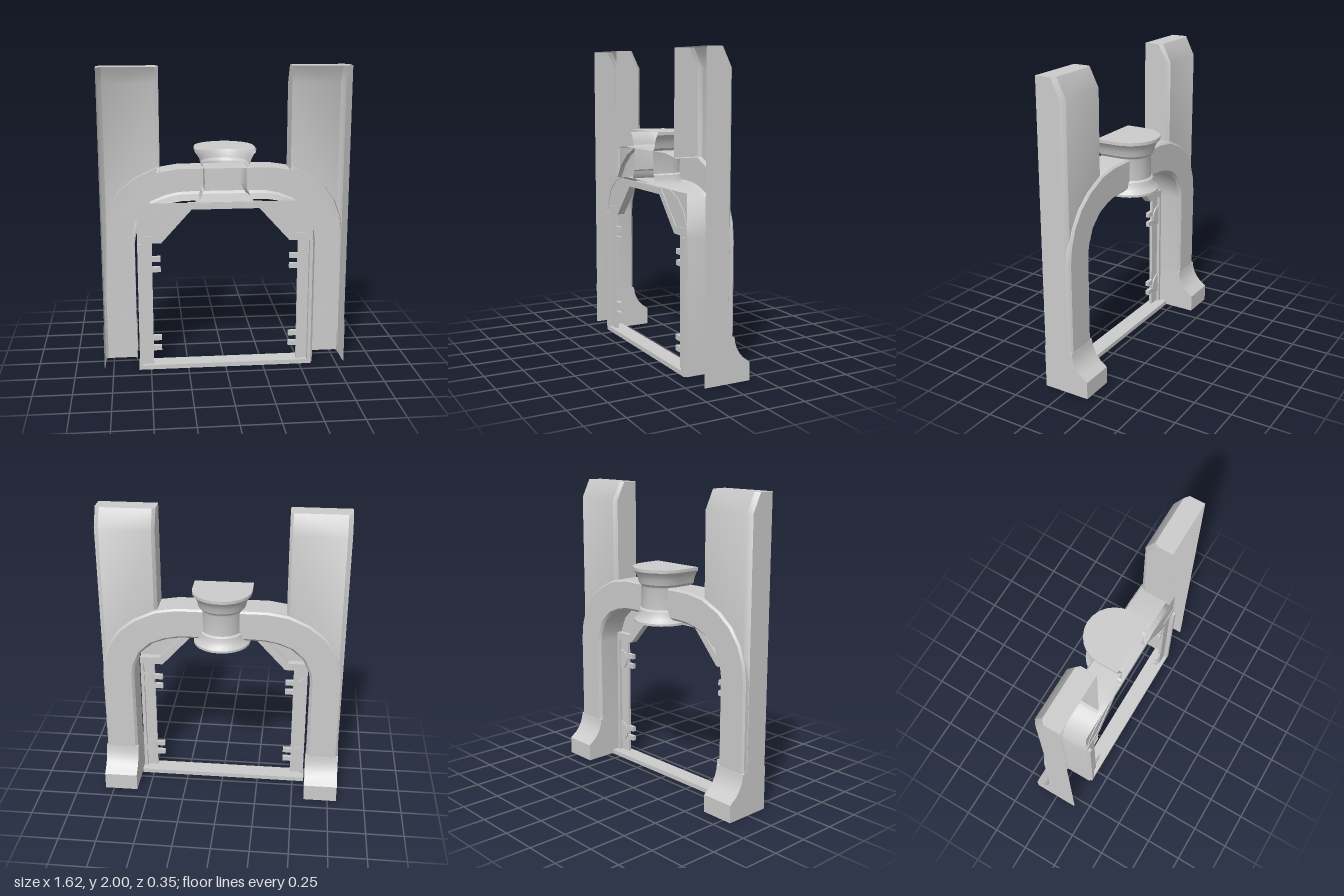
import * as THREE from 'three';
import { toCreasedNormals } from 'three/addons/utils/BufferGeometryUtils.js';

const FRONT = 0.15; // z of the open edge of the shell
const material = new THREE.MeshStandardMaterial({ color: 0xcccccc, side: THREE.DoubleSide });

function addMesh(parent, name, geometry) {
  const mesh = new THREE.Mesh(geometry, material);
  mesh.name = name;
  parent.add(mesh);
  return mesh;
}

// Skin a list of equally long cross-sections, each a list of [x, y, z]
function skin(rows) {
  const n = rows[0].length;
  const index = [];
  for (let i = 0; i < rows.length - 1; i++) {
    for (let j = 0; j < n - 1; j++) {
      const a = i * n + j, b = a + n;
      index.push(a, b, a + 1, a + 1, b, b + 1);
    }
  }
  const geometry = new THREE.BufferGeometry();
  geometry.setAttribute('position', new THREE.Float32BufferAttribute(rows.flat(2), 3));
  geometry.setIndex(index);
  return toCreasedNormals(geometry, 0.5);
}

function box(parent, name, x0, x1, y0, y1, z0, z1) {
  const mesh = addMesh(parent, name, new THREE.BoxGeometry(Math.abs(x1 - x0), y1 - y0, z1 - z0));
  mesh.position.set((x0 + x1) / 2, (y0 + y1) / 2, (z0 + z1) / 2);
}

const polygon = (points) => new THREE.Shape(points.map(([x, y]) => new THREE.Vector2(x, y)));
const mirrored = (half) => [...half, ...half.map(([x, y]) => [-x, y]).reverse()];

// Hollow tower: bevelled section, sloping top, foot of the skin cut along the arch
function pillar(parent, s) {
  const section = [[0.42, FRONT], [0.42, -0.012], [0.44, -0.035], [0.775, -0.035], [0.805, -0.012], [0.805, FRONT]];
  const bottom = [1.335, 1.335, 1.33, 0.87, 0, 0];
  const slope = (z) => (z === FRONT ? z : z + 0.06);
  const top = section.map(([x, z]) => [s * x, 2, slope(z)]);
  addMesh(parent, 'pillarShell', skin([
    section.map(([x, z], i) => [s * x, bottom[i], z]),
    section.map(([x, z]) => [s * x, 1.88, z]),
    top,
  ]));
  addMesh(parent, 'pillarTop', skin([top.slice(0, 3), top.slice(3).reverse()]));
}

// Flared foot, open at the front and below
function foot(parent, s) {
  const profile = [[-0.035, 0.29], [-0.053, 0.285], [-0.058, 0.25], [-0.07, 0.215], [-0.09, 0.18],
    [-0.115, 0.152], [-0.145, 0.13], [-0.163, 0.115], [-0.163, 0]];
  addMesh(parent, 'foot', skin(profile.map(([z, y]) => [
    [s * 0.585, y, FRONT], [s * 0.585, y, z], [s * 0.81, y, z], [s * 0.81, y, FRONT],
  ])));
}

// Arch ring with bevelled edges and a deep soffit
function arch(parent) {
  const outer = mirrored([[0.803, 0], [0.803, 0.87], [0.79, 0.98], [0.75, 1.09], [0.68, 1.19], [0.58, 1.27], [0.44, 1.335], [0.3, 1.357]]);
  const inner = mirrored([[0.59, 0], [0.59, 0.87], [0.58, 0.93], [0.535, 1.03], [0.455, 1.1], [0.36, 1.135], [0.28, 1.148], [0.2, 1.15]]);
  const section = [[0, 0], [0, -0.04], [0.06, -0.052], [0.92, -0.052], [1, -0.035], [1, FRONT]];
  addMesh(parent, 'arch', skin(outer.map(([ox, oy], i) => section.map(([t, z]) => [
    ox + (inner[i][0] - ox) * t, oy + (inner[i][1] - oy) * t, z,
  ]))));
  // Roof of the arch between the pillars
  const crown = outer.filter(([x]) => Math.abs(x) < 0.5);
  addMesh(parent, 'archTop', skin(crown.map(([x, y]) => [[x, y, -0.04], [x, y, FRONT]])));
}

// Spool-shaped keystone: half-round at the back, straight walls towards the front
function keystone(parent) {
  const profile = [[0.195, 1.48], [0.195, 1.46], [0.178, 1.44], [0.163, 1.41], [0.155, 1.375], [0.14, 1.36],
    [0.137, 1.35], [0.137, 1.21], [0.15, 1.2], [0.155, 1.175], [0.168, 1.15], [0.188, 1.13], [0.188, 1.115]];
  const centre = 0.015, steps = 12;
  const ring = ([r, y]) => {
    const points = [[r, y, FRONT]];
    for (let i = 0; i <= steps; i++) {
      const a = (Math.PI * i) / steps;
      points.push([r * Math.cos(a), y, centre - r * Math.sin(a)]);
    }
    return [...points, [-r, y, FRONT]];
  };
  addMesh(parent, 'keystoneBody', skin(profile.map(ring)));
  // Flat end faces
  for (const [name, end] of [['keystoneTop', profile[0]], ['keystoneBottom', profile.at(-1)]]) {
    const edge = ring(end);
    addMesh(parent, name, skin([edge, edge.map(([x, y]) => [x, y, FRONT])]));
  }
}

// Chamfered doorway set into the arch
function doorFrame(parent) {
  // Flat panel filling the corners above the chamfers
  addMesh(parent, 'cornerPanel', new THREE.ShapeGeometry(polygon(mirrored(
    [[0.24, 1.13], [0.44, 0.92], [0.575, 0.92], [0.575, 1.135]],
  )))).position.z = FRONT - 0.005;

  // Header band
  const header = polygon([
    ...mirrored([[0.575, 0.87], [0.575, 0.92], [0.44, 0.92], [0.24, 1.13]]),
    ...mirrored([[-0.42, 0.87], [-0.22, 1.09]]),
  ]);
  addMesh(parent, 'header', new THREE.ExtrudeGeometry(header, { depth: 0.05, bevelEnabled: false })).position.z = 0.1;
  box(parent, 'sill', -0.58, 0.58, 0, 0.03, 0.05, 0.165);

  for (const s of [1, -1]) {
    box(parent, 'jamb', s * 0.48, s * 0.555, 0.03, 0.87, 0.12, 0.14);
    box(parent, 'jambRim', s * 0.553, s * 0.575, 0.03, 0.87, 0.1, 0.17);
    for (const y of [0.725, 0.178]) {
      // Round hinge plate with two tabs
      const plate = new THREE.CylinderGeometry(0.07, 0.07, 0.012, 16, 1, false, s > 0 ? Math.PI : 0, Math.PI);
      plate.rotateX(Math.PI / 2);
      addMesh(parent, 'hingePlate', plate).position.set(s * 0.555, y, 0.116);
      for (const dy of [0.035, -0.036]) {
        box(parent, 'hingeTab', s * 0.425, s * 0.485, y + dy - 0.017, y + dy + 0.017, 0.115, 0.14);
      }
    }
  }
}

export function createModel() {
  const model = new THREE.Group();
  model.name = 'archedGateway';
  const part = (name, build, ...args) => {
    const group = new THREE.Group();
    group.name = name;
    build(group, ...args);
    model.add(group);
  };
  part('leftPillar', pillar, 1);
  part('rightPillar', pillar, -1);
  part('leftFoot', foot, 1);
  part('rightFoot', foot, -1);
  part('archway', arch);
  part('keystone', keystone);
  part('doorFrame', doorFrame);
  return model;
}
